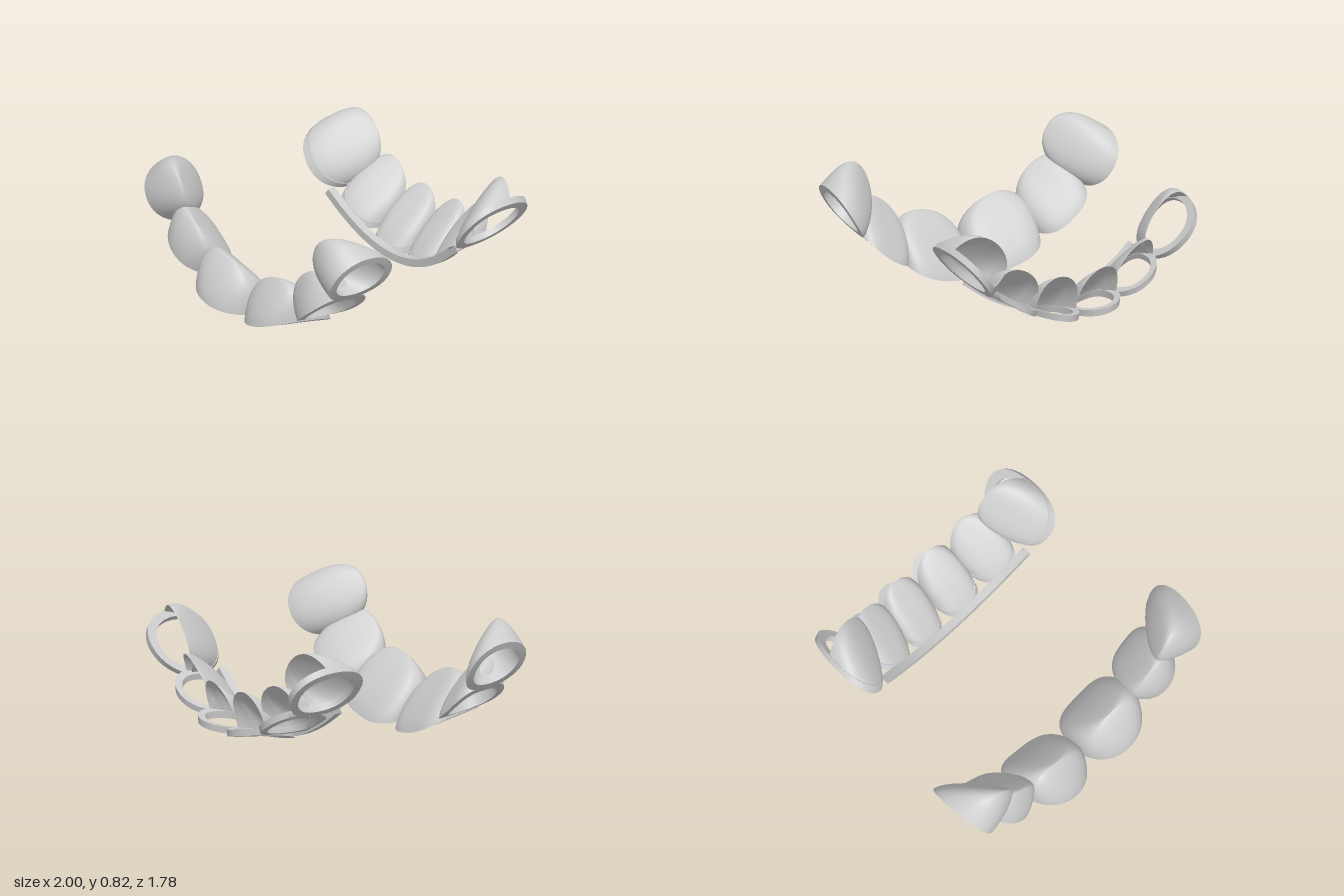
import * as THREE from 'three';
import { toCreasedNormals } from 'three/addons/utils/BufferGeometryUtils.js';

const material = new THREE.MeshStandardMaterial({ color: 0xcccccc, side: THREE.DoubleSide });
const lerp = THREE.MathUtils.lerp;

// Skin a list of closed profiles; wraps the last onto the first if closed
function loft(name, rows, closed) {
  const n = rows[0].length, index = [];
  const pts = rows.flat();
  for (let i = 0; i < rows.length - (closed ? 0 : 1); i++) {
    for (let j = 0; j < n; j++) {
      const i2 = (i + 1) % rows.length, j2 = (j + 1) % n;
      const a = i * n + j, b = i * n + j2, c = i2 * n + j2, d = i2 * n + j;
      index.push(a, b, c, a, c, d);
    }
  }
  // Signed volume decides which way the faces must turn
  let volume = 0;
  const cross = new THREE.Vector3();
  for (let i = 0; i < index.length; i += 3) {
    volume += pts[index[i]].dot(cross.crossVectors(pts[index[i + 1]], pts[index[i + 2]]));
  }
  if (volume < 0) index.reverse();
  const geometry = new THREE.BufferGeometry().setFromPoints(pts);
  geometry.setIndex(index);
  const mesh = new THREE.Mesh(toCreasedNormals(geometry, 0.9), material);
  mesh.name = name;
  return mesh;
}

const power = (value, p) => Math.sign(value) * Math.abs(value) ** p;

// Surface of one tooth: s climbs from rim to ridge, phi runs round, k shrinks the section
function toothSurface({ from, to, apex, z, ridgeZ, tilt, bow, square, skew }, side) {
  const cx = (from[0] + to[0]) / 2, cy = (from[1] + to[1]) / 2;
  const a = Math.hypot(to[0] - from[0], to[1] - from[1]) / 2;
  const tx = (to[0] - from[0]) / (2 * a), ty = (to[1] - from[1]) / (2 * a);
  const midZ = (z[0] + z[1]) / 2, halfZ = (z[0] - z[1]) / 2;
  return (s, phi, k) => {
    const sin = Math.sin(phi);
    const p = 2 / (sin > 0 ? square : 2.1); // squarer towards the gum edge
    const u = power(Math.cos(phi), p) * k;
    const v = power(sin, p) * k * (sin < 0 ? 1 + skew * u : 1);
    const w = a * Math.sqrt(Math.max(0, 1 - s ** 3.2)) * u;
    const depth = halfZ * Math.max(0, 1 - s ** 1.4) ** 0.85; // rounds the ridge over
    const lift = (1 - s) * (-tilt * v - bow * (1 - u * u));
    return new THREE.Vector3(
      side * (lerp(cx, apex[0], s) + tx * w - ty * lift),
      lerp(cy, apex[1], s) + ty * w + tx * lift,
      lerp(midZ, ridgeZ, s ** 1.25) + v * depth
    );
  };
}

const STEPS = 18;
const heights = Array.from({ length: STEPS + 1 }, (_, i) => 1 - (1 - i / STEPS) ** 1.8);

// Wall profile: up the outside, back down the inside
const wall = (surface, phi, k, top) => [
  ...heights.map(s => surface(s, phi, 1)),
  ...[...heights].reverse().map(s => surface(s * top, phi, k))
];

// Fully closed hollow cap
function hollowTooth(name, spec, side) {
  const surface = toothSurface(spec, side), rows = [];
  for (let i = 0; i < 56; i++) rows.push(wall(surface, i / 56 * Math.PI * 2, 0.76, 0.88));
  return loft(name, rows, true);
}

// Rim ring with a facing on one side only, open at the back
function openTooth(name, spec, side) {
  const group = new THREE.Group();
  group.name = name;
  const surface = toothSurface(spec, side), ring = [], face = [];
  for (let i = 0; i < 56; i++) {
    const phi = i / 56 * Math.PI * 2;
    ring.push([surface(0, phi, 1), surface(0.16, phi, 1.02), surface(0.16, phi, 0.78), surface(0, phi, 0.78)]);
  }
  for (let i = 0; i <= 36; i++) {
    const t = i / 36;
    const thick = Math.min(1, 8 * Math.min(t, 1 - t)); // edges taper closed
    face.push(wall(surface, Math.PI * lerp(-0.06, 1.06, t), 1 - 0.2 * thick, 1 - 0.06 * thick));
  }
  group.add(loft('rimRing', ring, true), loft('facing', face, false));
  return group;
}

const upperTeeth = {
  centralIncisor: { from: [0, 0.045], to: [0.48, 0.165], apex: [0.23, 0.395], z: [0.4, 0.89], ridgeZ: 0.72, tilt: 0.04, bow: 0.035, square: 3.2, skew: 0 },
  lateralIncisor: { from: [0.46, 0.165], to: [0.8, 0.425], apex: [0.535, 0.525], z: [0.4, 0.82], ridgeZ: 0.735, tilt: 0.02, bow: 0.025, square: 2.8, skew: 0 },
  canine: { from: [0.8, 0.405], to: [0.998, 0.74], apex: [0.655, 0.745], z: [0.365, 0.815], ridgeZ: 0.74, tilt: 0.015, bow: 0.015, square: 2.2, skew: 0 }
};
const lowerTeeth = {
  centralIncisor: { from: [0.0, 0.14], to: [0.295, 0.2], apex: [0.14, 0.468], z: [-0.45, -0.89], ridgeZ: -0.81, tilt: 0.04, bow: 0.015, square: 2.8, skew: 0.06 },
  lateralIncisor: { from: [0.29, 0.2], to: [0.585, 0.39], apex: [0.39, 0.545], z: [-0.425, -0.85], ridgeZ: -0.79, tilt: 0.02, bow: 0.015, square: 2.6, skew: 0.04 },
  canine: { from: [0.595, 0.375], to: [0.868, 0.72], apex: [0.56, 0.735], z: [-0.345, -0.855], ridgeZ: -0.75, tilt: 0.01, bow: 0.01, square: 2.3, skew: 0.14 }
};

// Slim band joining the lower rims
function connectingBand() {
  const rows = [];
  for (let i = 0; i <= 40; i++) {
    const x = lerp(-0.6, 0.6, i / 40), y = 0.135 + 0.7 * x * x;
    const z = -0.445 + 0.1 * x * x;
    const slope = 1.4 * x, len = Math.hypot(1, slope);
    const nx = -slope / len, ny = 1 / len;
    rows.push([[-1, -1], [1, -1], [1, 1], [-1, 1]].map(([n, d]) =>
      new THREE.Vector3(x + nx * n * 0.025, y + ny * n * 0.025, z + d * 0.026)));
  }
  return loft('connectingBand', rows, false);
}

export function createModel() {
  const model = new THREE.Group();
  model.name = 'dentalShells';
  const upper = new THREE.Group(), lower = new THREE.Group();
  upper.name = 'upperArch';
  lower.name = 'lowerArch';
  for (const [side, label] of [[1, 'left'], [-1, 'right']]) {
    for (const [name, spec] of Object.entries(upperTeeth)) upper.add(hollowTooth(`${label} upper ${name}`, spec, side));
    for (const [name, spec] of Object.entries(lowerTeeth)) lower.add(openTooth(`${label} lower ${name}`, spec, side));
  }
  lower.add(connectingBand());
  model.add(upper, lower);
  return model;
}
